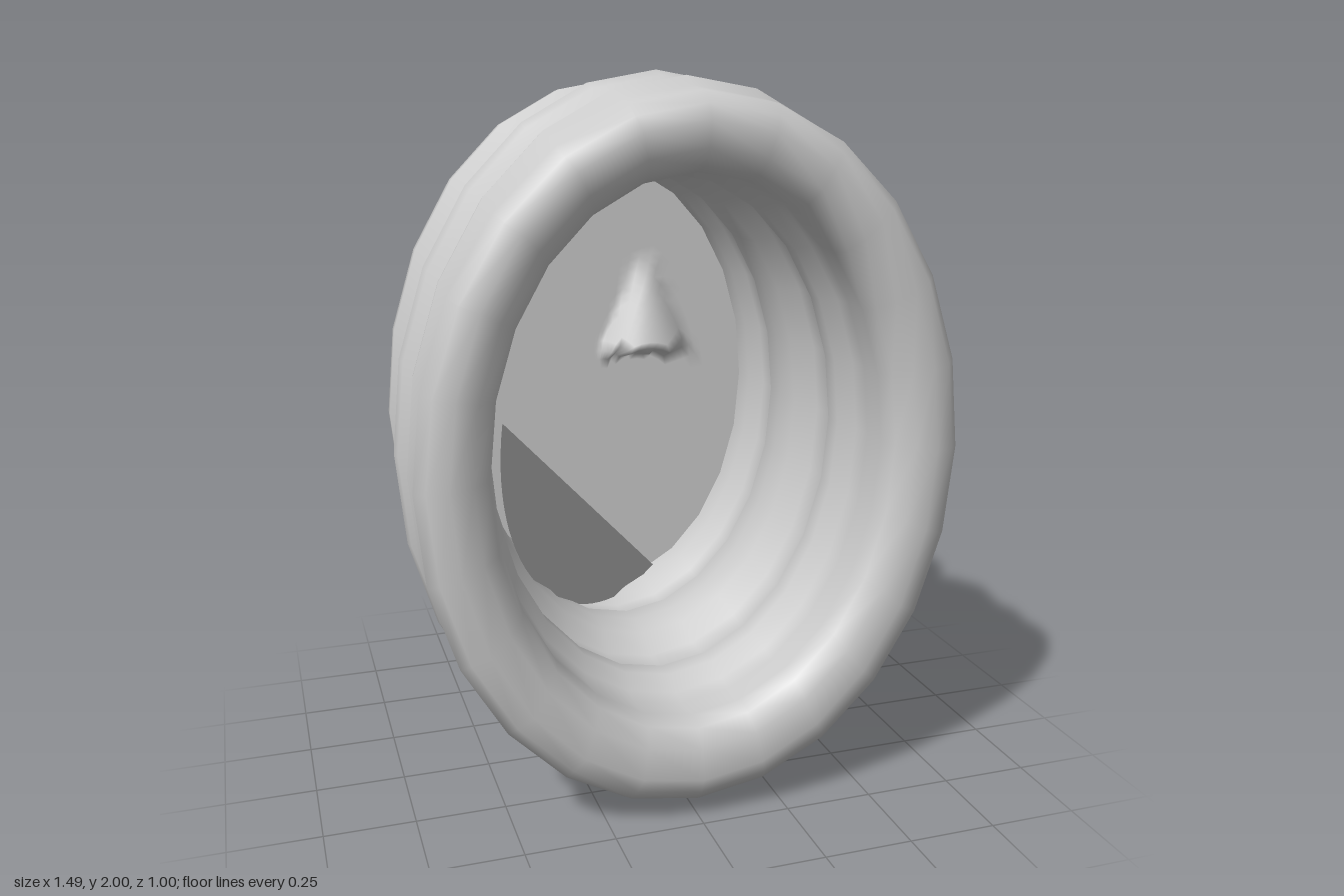
import * as THREE from 'three';
import { mergeVertices } from 'three/addons/utils/BufferGeometryUtils.js';

const SIDES = 24;
const BACK_Z = -0.48;
const grey = new THREE.MeshStandardMaterial({ color: 0xcccccc, side: THREE.DoubleSide });

// Weld the seams, smooth the normals and name the part
function smoothMesh(name, geometry) {
  geometry.deleteAttribute('uv');
  geometry.deleteAttribute('normal');
  const welded = mergeVertices(geometry, 1e-4);
  welded.computeVertexNormals();
  const mesh = new THREE.Mesh(welded, grey);
  mesh.name = name;
  return mesh;
}

// Sweep a profile of [half width, bottom, top, z] rows into stacked ovals
function ovalSweep(name, profile) {
  const points = profile.map(([halfWidth, , , z]) => new THREE.Vector2(halfWidth, z));
  const geo = new THREE.LatheGeometry(points, SIDES).rotateX(Math.PI / 2);
  const pos = geo.attributes.position;
  for (let i = 0; i < pos.count; i++) {
    const [halfWidth, bottom, top] = profile[i % profile.length];
    pos.setY(i, (top + bottom) / 2 + (pos.getY(i) / halfWidth) * (top - bottom) / 2);
  }
  return smoothMesh(name, geo);
}

// Back closure: flat oval with a half-cone dent that widens downwards
function backPlate() {
  const geo = new THREE.RingGeometry(0.001, 1, 64, 30);
  const pos = geo.attributes.position;
  for (let i = 0; i < pos.count; i++) {
    const x = pos.getX(i) * 0.64;
    const y = 1.015 + pos.getY(i) * 0.9;
    const t = (1.46 - y) / 0.33;
    const across = (x - 0.14) / (0.16 * t);
    const dent = t > 0 && t < 1 ? Math.max(0, 1 - across * across) * t : 0;
    pos.setXYZ(i, x, y, BACK_Z + 0.1 * dent);
  }
  return smoothMesh('backPlate', geo);
}

// Slanted flap inside the lower corner, rising from a diagonal crease to the wall
function innerFlap() {
  const shape = new THREE.Shape();
  shape.absellipse(0, 1.03, 0.47, 0.7, Math.PI * 0.97, Math.PI * 1.62, false);
  const geo = new THREE.ShapeGeometry(shape, 16);
  const pos = geo.attributes.position;
  const start = new THREE.Vector2(pos.getX(0), pos.getY(0));
  const end = shape.getPoint(1);
  const crease = end.clone().sub(start).normalize();
  for (let i = 0; i < pos.count; i++) {
    const dx = pos.getX(i) - start.x, dy = pos.getY(i) - start.y;
    const distance = Math.abs(dx * crease.y - dy * crease.x);
    pos.setZ(i, BACK_Z + 0.01 + 0.75 * distance);
  }
  return smoothMesh('innerFlap', geo);
}

export function createModel() {
  const group = new THREE.Group();
  group.name = 'ribbedOvalRing';

  // Outer skin with three ribs, from the back lip forwards
  const outer = [
    [0.63, 0.125, 1.905, -0.475], [0.652, 0.1, 1.93, -0.5], [0.65, 0.1, 1.925, -0.38],
    [0.705, 0.07, 1.975, -0.335], [0.708, 0.07, 1.98, -0.28], [0.66, 0.12, 1.915, -0.235],
    [0.655, 0.125, 1.915, -0.14], [0.662, 0.12, 1.92, -0.045], [0.727, 0.025, 1.985, 0.02],
    [0.74, 0.0, 2.0, 0.065], [0.735, 0.02, 1.985, 0.11], [0.7, 0.07, 1.945, 0.145],
    [0.7, 0.08, 1.94, 0.21], [0.73, 0.025, 1.975, 0.26], [0.737, 0.025, 1.985, 0.31],
    [0.712, 0.075, 1.96, 0.36],
  ];

  // Rounded bead around the front opening
  const bead = [
    [0.743, 0.05, 1.95, 0.45], [0.715, 0.085, 1.92, 0.48], [0.66, 0.13, 1.88, 0.5],
    [0.6, 0.215, 1.815, 0.49], [0.555, 0.265, 1.77, 0.455], [0.54, 0.28, 1.752, 0.4],
  ];

  // Inner skin with shallower ribs stepping in towards the back
  const inner = [
    [0.545, 0.27, 1.76, 0.31], [0.535, 0.28, 1.755, 0.26], [0.505, 0.31, 1.735, 0.2],
    [0.505, 0.31, 1.735, 0.14], [0.535, 0.28, 1.755, 0.08], [0.525, 0.29, 1.75, 0.02],
    [0.48, 0.335, 1.725, -0.05], [0.472, 0.345, 1.72, -0.14], [0.48, 0.335, 1.725, -0.23],
    [0.51, 0.3, 1.74, -0.29], [0.5, 0.31, 1.735, -0.34], [0.468, 0.345, 1.72, -0.39],
    [0.468, 0.345, 1.72, -0.475],
  ];

  group.add(ovalSweep('ribbedWall', [...outer, ...bead, ...inner]));
  group.add(backPlate());
  group.add(innerFlap());
  return group;
}
